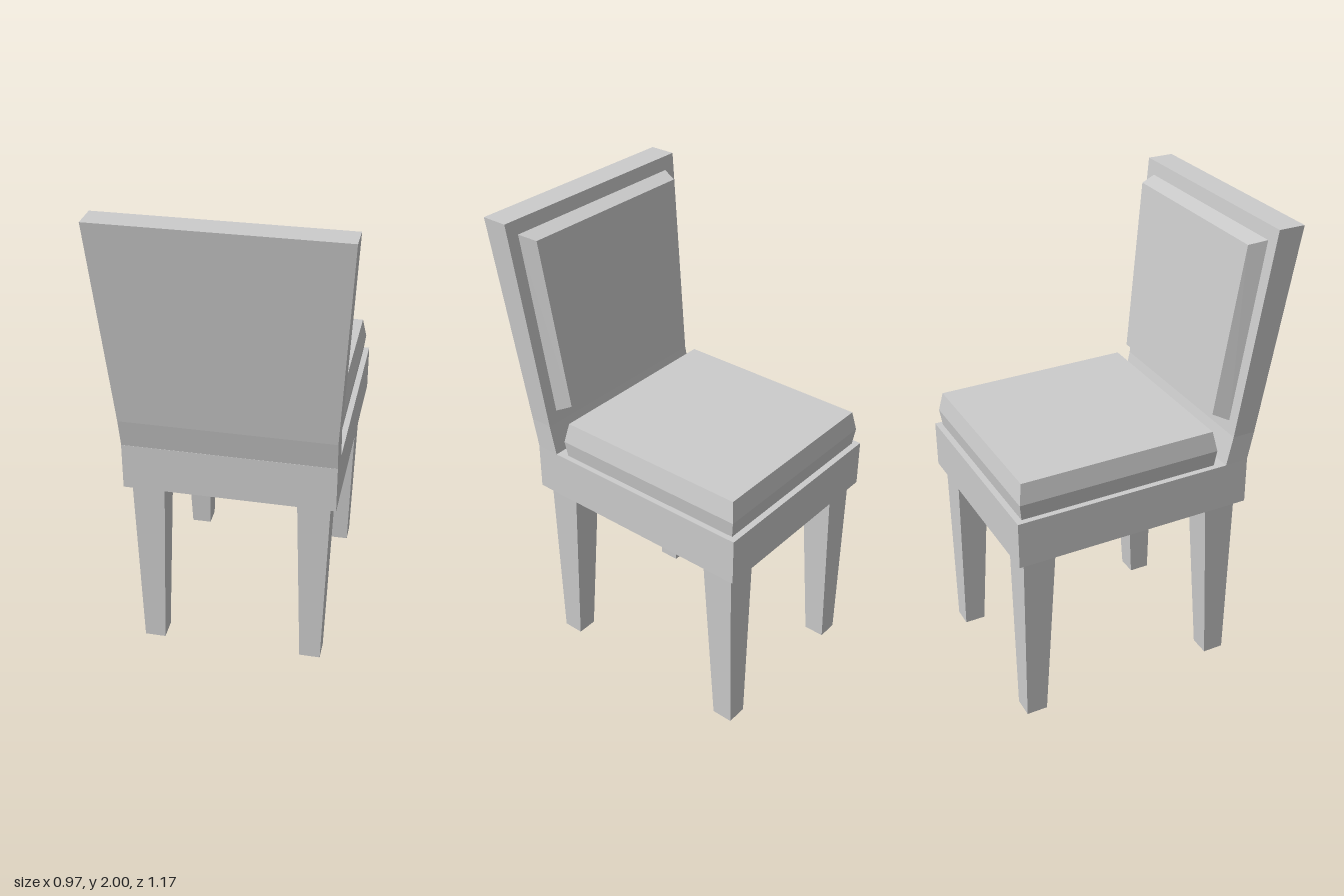
import * as THREE from 'three';

const material = new THREE.MeshStandardMaterial({ color: 0xcccccc, flatShading: true });

// Closed solid through four-cornered rings, each counter-clockwise seen from the last ring's end.
function loft(name, rings) {
  const pos = [];
  const quad = (a, b, c, d) => pos.push(...a, ...b, ...c, ...a, ...c, ...d);
  for (let r = 0; r < rings.length - 1; r++) {
    const lo = rings[r], hi = rings[r + 1];
    for (let i = 0; i < 4; i++) {
      const j = (i + 1) % 4;
      quad(lo[i], lo[j], hi[j], hi[i]);
    }
  }
  quad(...[...rings[0]].reverse());
  quad(...rings[rings.length - 1]);
  const geometry = new THREE.BufferGeometry();
  geometry.setAttribute('position', new THREE.Float32BufferAttribute(pos, 3));
  geometry.computeVertexNormals();
  const mesh = new THREE.Mesh(geometry, material);
  mesh.name = name;
  return mesh;
}

// Horizontal rectangle at height y
const level = (y, x0, x1, z0, z1) => [[x0, y, z1], [x1, y, z1], [x1, y, z0], [x0, y, z0]];

// Leaning, tapered panel outline facing -z
const panel = (wLow, yLow, zLow, wHigh, yHigh, zHigh) =>
  [[wLow, yLow, zLow], [-wLow, yLow, zLow], [-wHigh, yHigh, zHigh], [wHigh, yHigh, zHigh]];

export function createModel() {
  const chair = new THREE.Group();
  chair.name = 'chair';

  // Seat frame
  const frame = new THREE.Mesh(new THREE.BoxGeometry(0.87, 0.2, 1.025), material);
  frame.name = 'seatFrame';
  frame.position.set(0, 0.9, -0.0735);
  chair.add(frame);

  // Seat cushion, widest at its middle
  chair.add(loft('seatCushion', [
    level(1.0, -0.411, 0.411, -0.56, 0.294),
    level(1.07, -0.42, 0.42, -0.569, 0.302),
    level(1.155, -0.403, 0.403, -0.554, 0.286),
  ]));

  // Backrest, bent near its foot and flaring toward the top
  chair.add(loft('backrest', [
    level(1.0, -0.435, 0.435, 0.338, 0.438),
    level(1.125, -0.436, 0.436, 0.366, 0.464),
    level(2.0, -0.487, 0.487, 0.477, 0.588),
  ]));

  // Back cushion
  chair.add(loft('backCushion', [
    panel(0.387, 1.177, 0.373, 0.43, 1.943, 0.471),
    panel(0.361, 1.208, 0.308, 0.403, 1.927, 0.399),
  ]));

  // Legs: outer z face upright, the others tapering downward
  for (const side of [1, -1]) {
    for (const [end, outer, dir] of [['back', 0.402, -1], ['front', -0.558, 1]]) {
      const section = (y, xa, xb, depth) => {
        const xs = [side * xa, side * xb], zs = [outer, outer + dir * depth];
        return level(y, Math.min(...xs), Math.max(...xs), Math.min(...zs), Math.max(...zs));
      };
      chair.add(loft(`${end}Leg${side > 0 ? 'Left' : 'Right'}`, [
        section(0, 0.298, 0.387, 0.09),
        section(0.8, 0.273, 0.409, 0.137),
      ]));
    }
  }

  return chair;
}
